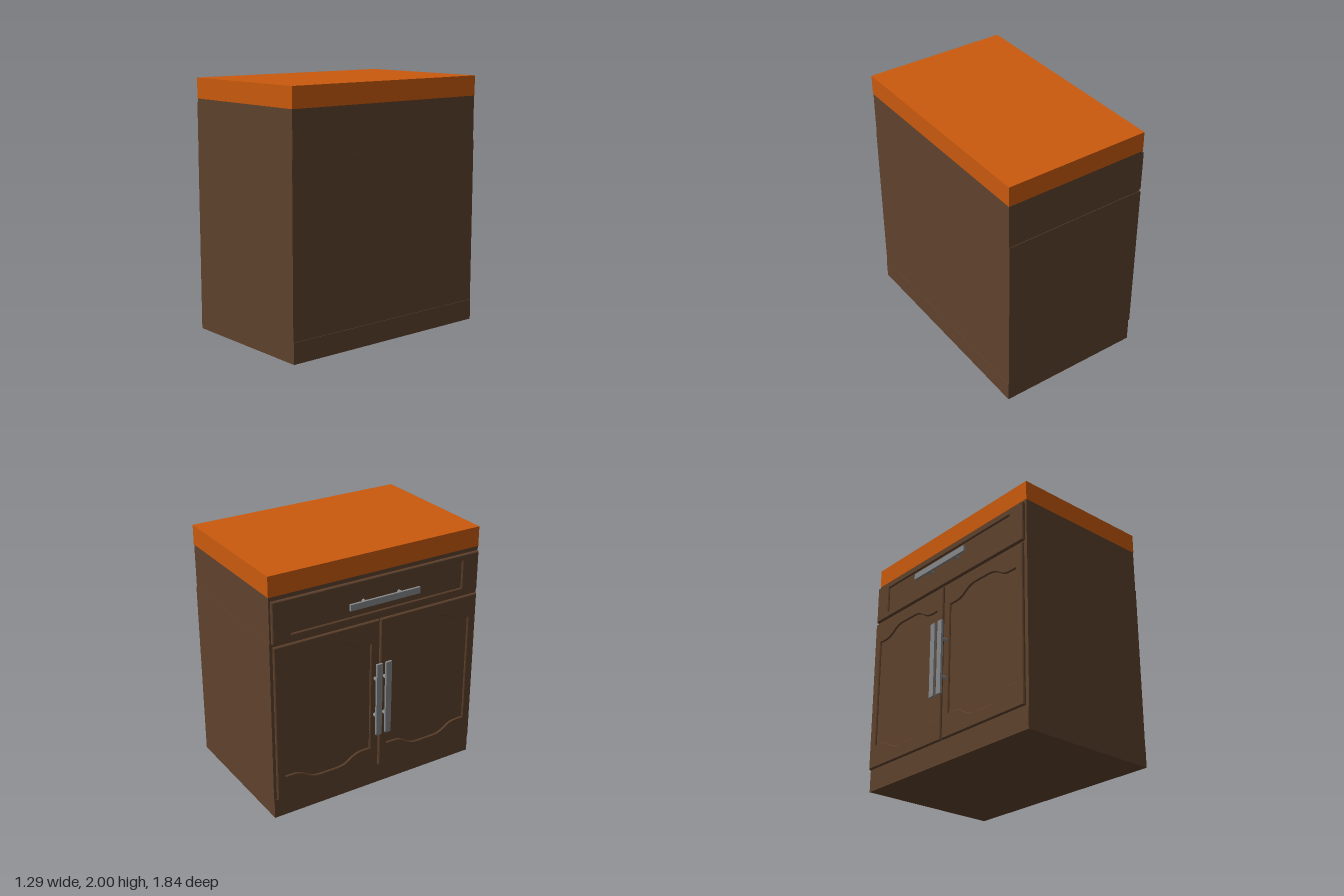
import * as THREE from 'three';

const wood = new THREE.MeshStandardMaterial({ color: 0x5f422d });
wood.name = 'brown wood';
const orange = new THREE.MeshStandardMaterial({ color: 0xca5a0e });
orange.name = 'orange worktop';
const metal = new THREE.MeshStandardMaterial({ color: 0x868889 });
metal.name = 'grey metal';

function add(parent, name, geometry, material) {
  const mesh = new THREE.Mesh(geometry, material);
  mesh.name = name;
  parent.add(mesh);
  return mesh;
}

// Box given by its limits on each axis
function box(parent, name, [x0, x1], [y0, y1], [z0, z1], material) {
  const mesh = add(parent, name, new THREE.BoxGeometry(x1 - x0, y1 - y0, z1 - z0), material);
  mesh.position.set((x0 + x1) / 2, (y0 + y1) / 2, (z0 + z1) / 2);
  return mesh;
}

function rect(w, h) {
  const a = w / 2, b = h / 2;
  return new THREE.Shape().moveTo(-a, -b).lineTo(a, -b).lineTo(a, b).lineTo(-a, b).closePath();
}

// Panel opening whose top and bottom swell out in an S-curved arch
function archedOpening(w, h, rise) {
  const a = w / 2, b = h / 2, s = a * 0.84, t = a * 0.2, m = (s + t) / 2;
  const p = new THREE.Path().moveTo(-a, -b);
  for (const k of [1, -1]) {
    p.lineTo(-s * k, -b * k);
    p.bezierCurveTo(-m * k, -b * k, -m * k, -(b + rise) * k, -t * k, -(b + rise) * k);
    p.lineTo(t * k, -(b + rise) * k);
    p.bezierCurveTo(m * k, -(b + rise) * k, m * k, -b * k, s * k, -b * k);
    p.lineTo(a * k, -b * k);
    p.lineTo(a * k, b * k);
  }
  return p;
}

// Bevelled frame with a recessed panel, facing -x
function panelledFront(name, w, h, opening, thickness) {
  const group = new THREE.Group();
  group.name = name;
  const shape = rect(w, h);
  shape.holes.push(opening);
  const bevel = 0.007;
  const frame = add(group, 'frame', new THREE.ExtrudeGeometry(shape, {
    depth: thickness - 2 * bevel, bevelThickness: bevel, bevelSize: bevel,
    bevelOffset: -bevel, bevelSegments: 1, curveSegments: 10,
  }), wood);
  frame.position.z = bevel;
  const panel = add(group, 'recessedPanel', new THREE.BoxGeometry(w - 0.04, h - 0.04, thickness - 0.014), wood);
  panel.position.z = (thickness - 0.014) / 2 + 0.001;
  group.rotation.y = -Math.PI / 2;
  return group;
}

// Flat bar on two round posts, lying along z
function handle(name) {
  const group = new THREE.Group();
  group.name = name;
  box(group, 'bar', [-0.07, -0.05], [-0.025, 0.025], [-0.307, 0.307], metal);
  for (const z of [-0.158, 0.158]) {
    const post = add(group, 'post', new THREE.CylinderGeometry(0.014, 0.014, 0.055, 16), metal);
    post.rotation.z = Math.PI / 2;
    post.position.set(-0.0275, 0, z);
  }
  return group;
}

export function createModel() {
  const model = new THREE.Group();
  model.name = 'cabinet';

  // Stacked body
  box(model, 'plinth', [-0.55, 0.645], [0, 0.165], [-0.92, 0.92], wood);
  box(model, 'lowerBody', [-0.546, 0.64], [0.165, 1.485], [-0.922, 0.922], wood);
  box(model, 'drawerBody', [-0.544, 0.639], [1.485, 1.84], [-0.918, 0.918], wood);
  box(model, 'worktop', [-0.546, 0.642], [1.84, 2], [-0.92, 0.92], orange);

  // Drawer
  const drawer = panelledFront('drawerFront', 1.815, 0.325, rect(1.51, 0.225), 0.031);
  drawer.position.set(-0.544, 1.648, 0);
  model.add(drawer);
  const drawerHandle = handle('drawerHandle');
  drawerHandle.position.set(-0.575, 1.65, 0.004);
  model.add(drawerHandle);

  // Pair of doors with hinges and upright handles
  for (const side of [-1, 1]) {
    const door = panelledFront('door', 0.898, 1.285, archedOpening(0.75, 0.905, 0.08), 0.027);
    door.position.set(-0.553, 0.8175, side * 0.456);
    model.add(door);

    const doorHandle = handle('doorHandle');
    doorHandle.rotation.x = Math.PI / 2;
    doorHandle.position.set(-0.579, 0.8175, side * 0.042);
    model.add(doorHandle);

    for (const y of [0.338, 1.315])
      box(model, 'hinge', [-0.556, -0.545], [y - 0.063, y + 0.063],
        [side * 0.86 - 0.03, side * 0.86 + 0.03], wood);
  }
  return model;
}
